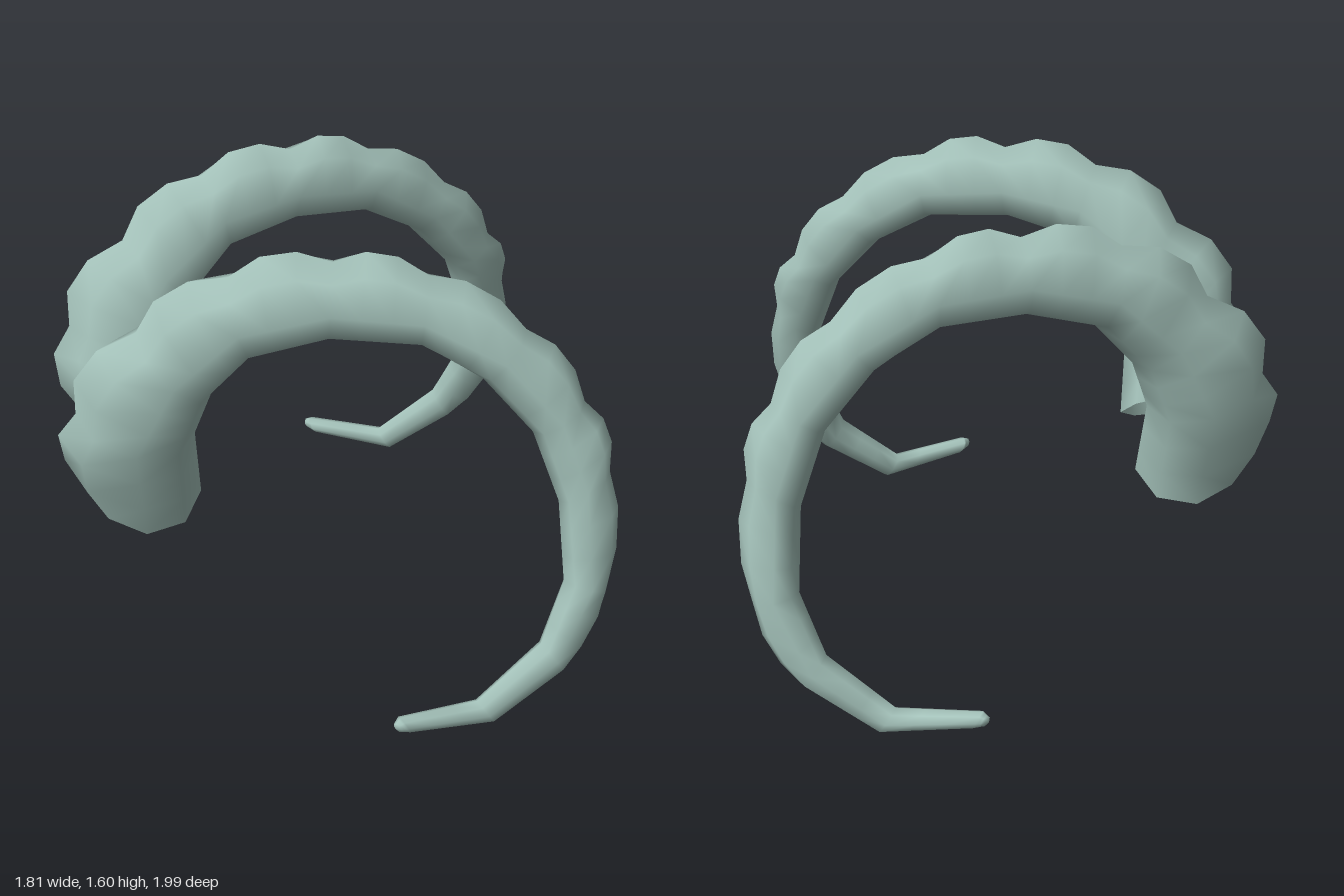
import * as THREE from 'three';

const SIDES = 8;
const STEPS = 3; // rings per growth segment

// Growth rings from base to tip: inner x, y, outer x, y, centre z, half thickness
const RINGS = [
  [-0.45, 0.60, -0.82, 0.66, 0.225, 0.17],
  [-0.47, 0.89, -0.86, 1.00, 0.31, 0.17],
  [-0.41, 1.07, -0.65, 1.305, 0.35, 0.16],
  [-0.275, 1.235, -0.355, 1.51, 0.41, 0.14],
  [-0.04, 1.305, -0.03, 1.565, 0.465, 0.13],
  [0.245, 1.29, 0.265, 1.525, 0.525, 0.12],
  [0.44, 1.175, 0.57, 1.345, 0.59, 0.11],
  [0.60, 0.995, 0.765, 1.095, 0.645, 0.10],
  [0.685, 0.76, 0.85, 0.86, 0.71, 0.085],
  [0.70, 0.49, 0.85, 0.45, 0.79, 0.07],
  [0.62, 0.285, 0.70, 0.17, 0.85, 0.052],
  [0.40, 0.095, 0.46, 0.005, 0.888, 0.04],
  [0.12, 0.125, 0.15, 0.065, 0.965, 0.032],
  [0.102, 0.115, 0.115, 0.08, 0.982, 0.017],
];

// Turn each row into a centre c, an outward axis v and a sideways axis w
function makeFrames() {
  const frames = RINGS.map(([ix, iy, ox, oy, z]) => ({
    c: new THREE.Vector3((ix + ox) / 2, (iy + oy) / 2, z),
    v: new THREE.Vector3((ox - ix) / 2, (oy - iy) / 2, 0),
  }));
  frames.forEach((f, i) => {
    const prev = frames[Math.max(i - 1, 0)].c;
    const next = frames[Math.min(i + 1, frames.length - 1)].c;
    // The base is cut at a slant
    const along = i === 0 ? new THREE.Vector3(0, 0.8, 0.6) : next.clone().sub(prev);
    f.w = along.cross(f.v).normalize().multiplyScalar(RINGS[i][5]);
  });
  return frames;
}

// side = 1 for the front horn, -1 for its mirror image
function hornGeometry(side) {
  const frames = makeFrames();
  const pos = [];
  const index = [];
  let rings = 0;

  const addRing = (c, v, w, swell) => {
    for (let j = 0; j < SIDES; j++) {
      const a = (j / SIDES) * Math.PI * 2;
      const k = Math.cos(a) + swell * Math.max(Math.cos(a), 0);
      const p = c.clone().addScaledVector(v, k).addScaledVector(w, Math.sin(a));
      pos.push(p.x, p.y, p.z * side);
    }
    rings++;
  };
  const face = (a, b, c) => (side > 0 ? index.push(a, b, c) : index.push(a, c, b));

  // Between growth rings the outer edge swells into a ridge
  for (let i = 0; i < frames.length - 1; i++) {
    const A = frames[i], B = frames[i + 1];
    for (let s = 0; s < STEPS; s++) {
      const t = s / STEPS;
      const swell = s > 0 && i < 10 ? 0.4 : 0;
      addRing(A.c.clone().lerp(B.c, t), A.v.clone().lerp(B.v, t), A.w.clone().lerp(B.w, t), swell);
    }
  }
  const end = frames[frames.length - 1];
  addRing(end.c, end.v, end.w, 0);

  for (let i = 0; i < rings - 1; i++) {
    for (let j = 0; j < SIDES; j++) {
      const k = (j + 1) % SIDES;
      const a = i * SIDES + j, b = i * SIDES + k;
      face(a, b, b + SIDES);
      face(a, b + SIDES, a + SIDES);
    }
  }
  // Closed tip
  const tip = rings * SIDES;
  pos.push(end.c.x - 0.008, end.c.y, (end.c.z + 0.003) * side);
  for (let j = 0; j < SIDES; j++) face(tip - SIDES + j, tip - SIDES + ((j + 1) % SIDES), tip);

  const geo = new THREE.BufferGeometry();
  geo.setAttribute('position', new THREE.Float32BufferAttribute(pos, 3));
  geo.setIndex(index);
  geo.computeVertexNormals();
  return geo;
}

export function createModel() {
  const group = new THREE.Group();
  group.name = 'curledHorns';
  // Open at the base, so both sides show
  const horn = new THREE.MeshStandardMaterial({ color: 0xa5c3bb, side: THREE.DoubleSide });
  horn.name = 'paleGreenHorn';
  for (const [name, side] of [['frontHorn', 1], ['backHorn', -1]]) {
    const mesh = new THREE.Mesh(hornGeometry(side), horn);
    mesh.name = name;
    group.add(mesh);
  }
  return group;
}
